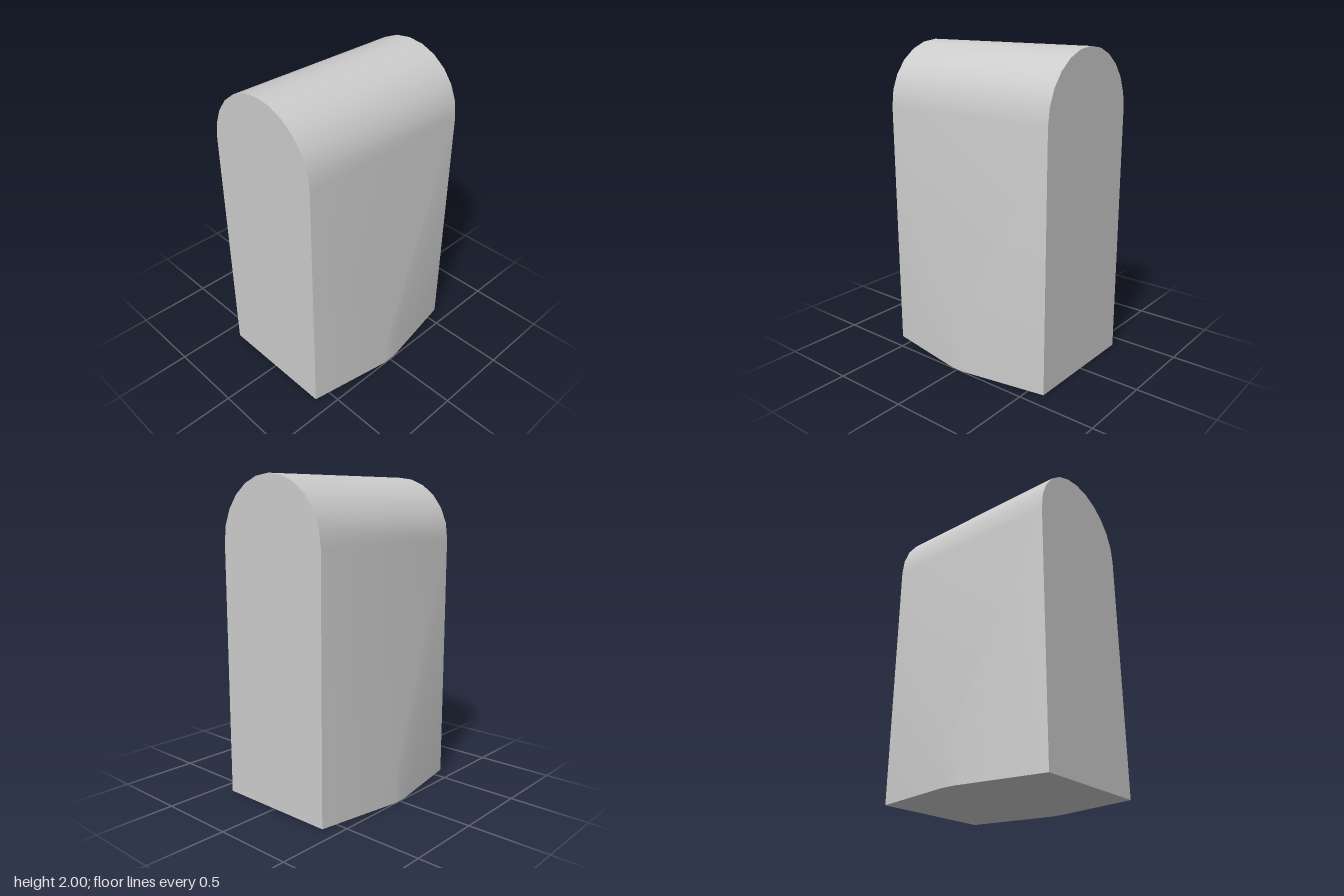
import * as THREE from 'three';
import { ConvexGeometry } from 'three/addons/geometries/ConvexGeometry.js';
import { toCreasedNormals } from 'three/addons/utils/BufferGeometryUtils.js';

const HALF_WIDTH = 0.6, RADIUS = 0.4, SPRING = 1.6, SEGMENTS = 12;

export function createModel() {
  const stone = new THREE.MeshStandardMaterial({ color: 0xcccccc });
  stone.name = 'light grey';

  const points = [];
  const add = (x, y, z) => points.push(new THREE.Vector3(x, y, z));

  // Arched end outlines
  for (const x of [-HALF_WIDTH, HALF_WIDTH]) {
    for (const z of [-RADIUS, RADIUS]) add(x, 0, z);
    for (let i = 0; i <= SEGMENTS; i++) {
      const a = (i / SEGMENTS) * Math.PI;
      add(x, SPRING + RADIUS * Math.sin(a), RADIUS * Math.cos(a));
    }
  }

  // Narrow upright ridge in the middle of the front and back
  for (const side of [-1, 1]) {
    for (const x of [-0.045, 0.045]) {
      for (const y of [0, 0.25]) add(x, y, side * 0.497);
    }
  }

  // Smooth across the arch and bulge, sharp at the ends and base
  const body = new THREE.Mesh(toCreasedNormals(new ConvexGeometry(points), 0.3), stone);
  body.name = 'archedBody';

  const model = new THREE.Group();
  model.name = 'archedBlock';
  model.add(body);
  return model;
}
